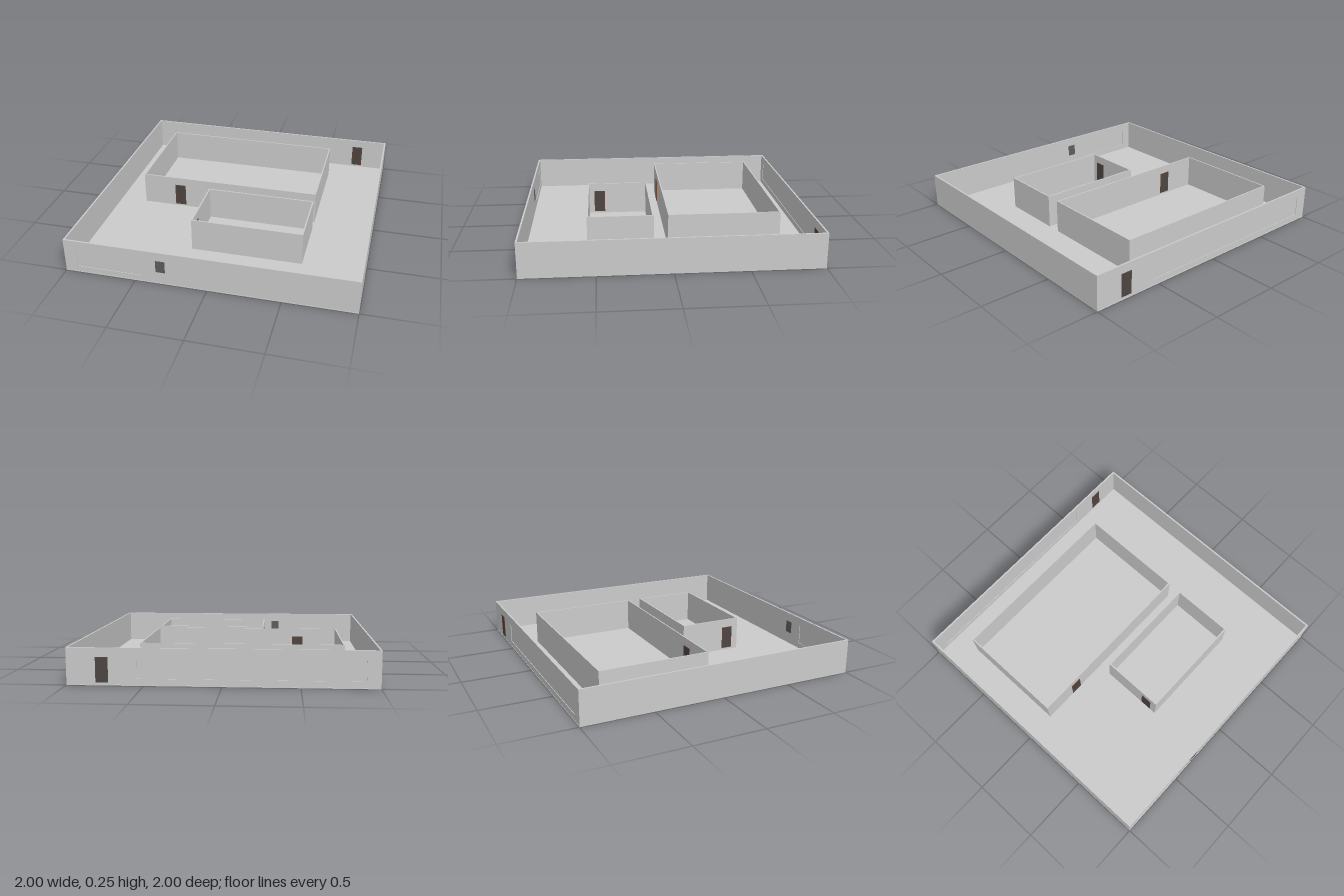
import * as THREE from 'three';

const H = 0.245;      // wall top
const FLOOR = 0.006;  // slab thickness
const grey = new THREE.MeshStandardMaterial({ color: 0xcccccc });
const glass = new THREE.MeshStandardMaterial({ color: 0x5e5e5e });
const wood = new THREE.MeshStandardMaterial({ color: 0x6b4430 });
const leaf = new THREE.MeshStandardMaterial({ color: 0x4c4644 });

// Box given by its minimum and maximum on each axis
function box(name, [x0, x1], [y0, y1], [z0, z1], material = grey) {
  const mesh = new THREE.Mesh(new THREE.BoxGeometry(x1 - x0, y1 - y0, z1 - z0), material);
  mesh.position.set((x0 + x1) / 2, (y0 + y1) / 2, (z0 + z1) / 2);
  mesh.name = name;
  return mesh;
}

// Wall along x with a rectangular opening, closed by a thin recessed pane
function panelWall(name, [x0, x1], [z0, z1], [px0, px1], [py0, py1]) {
  const rect = (C, a, b, c, d) => {
    const p = new C();
    p.moveTo(a, c);
    p.lineTo(b, c);
    p.lineTo(b, d);
    p.lineTo(a, d);
    p.closePath();
    return p;
  };
  const shape = rect(THREE.Shape, x0, x1, FLOOR, H);
  shape.holes.push(rect(THREE.Path, px0, px1, py0, py1));
  const wall = new THREE.Mesh(
    new THREE.ExtrudeGeometry(shape, { depth: z1 - z0, bevelEnabled: false }), grey);
  wall.position.z = z0;
  wall.name = name;
  const group = new THREE.Group();
  group.name = name + 'Assembly';
  const inset = (z1 - z0) / 3;
  group.add(wall, box(name + 'Pane', [px0, px1], [py0, py1], [z0 + inset, z1 - inset]));
  return group;
}

// Door leaf with side and top frame strips, centred on its origin
function door(name, x, z, depth, turn = 0) {
  const group = new THREE.Group();
  group.name = name;
  const w = 0.041, f = 0.005, y0 = 0.02, y1 = 0.185, d = depth / 2;
  group.add(
    box('doorLeaf', [-w + f, w - f], [y0, y1 - f], [-d + 0.001, d - 0.001], leaf),
    box('doorFrameTop', [-w, w], [y1 - f, y1], [-d, d], wood));
  for (const s of [-1, 1]) {
    const xs = [s * w, s * (w - f)].sort((a, b) => a - b);
    group.add(box('doorFrameSide', xs, [y0, y1 - f], [-d, d], wood));
  }
  group.position.set(x, 0, z);
  group.rotation.y = turn;
  return group;
}

// Four walls around a rectangle
function room(name, [x0, x1], [z0, z1], t) {
  const group = new THREE.Group();
  group.name = name;
  const y = [FLOOR, H];
  group.add(
    box('backWall', [x0, x1], y, [z0, z0 + t]),
    box('frontWall', [x0, x1], y, [z1 - t, z1]),
    box('rightWall', [x0, x0 + t], y, [z0 + t, z1 - t]),
    box('leftWall', [x1 - t, x1], y, [z0 + t, z1 - t]));
  return group;
}

export function createModel() {
  const model = new THREE.Group();
  model.name = 'floorPlan';
  const E = 0.998, T = 0.012;

  // Floor slab
  model.add(box('floor', [-1, 1], [0, FLOOR], [-1, 1]));

  // Outer walls
  model.add(
    panelWall('outerFrontWall', [-1, 1], [E - T, E], [-0.91, -0.455], [0.046, 0.182]),
    panelWall('outerBackWall', [-1, 1], [-E, -E + T], [-0.91, 0.545], [0.046, 0.182]));
  for (const s of [-1, 1]) {
    const xs = [s, s * (1 - T)].sort((a, b) => a - b);
    model.add(box('outerSideWall', xs, [FLOOR, H], [-E + T, E - T]));
  }

  // Inner rooms
  model.add(
    room('largeRoom', [-0.785, 0.56], [-0.787, 0], 0.009),
    room('smallRoom', [-0.235, 0.56], [0.1, 0.56], 0.01));

  // Window in the outer front wall
  model.add(box('window', [-0.35, -0.285], [0.092, 0.18], [E - T - 0.002, E + 0.002], glass));

  // Doors
  model.add(
    door('backDoor', 0.77, -E + T / 2, T + 0.004),
    door('largeRoomDoor', -0.495, -0.0045, 0.019),
    door('smallRoomDoor', -0.23, 0.47, 0.016, Math.PI / 2));
  return model;
}
